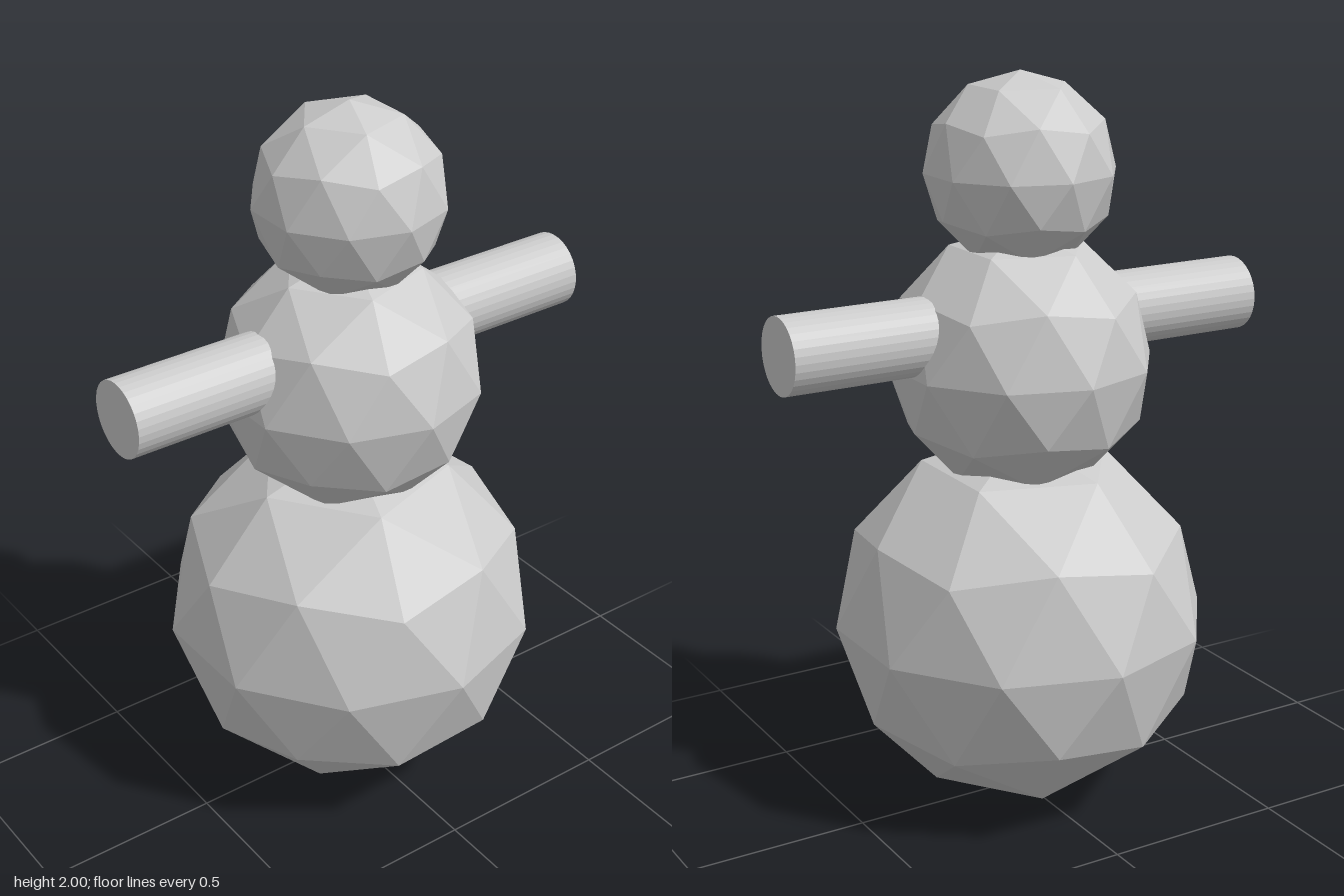
import * as THREE from 'three';

const material = new THREE.MeshStandardMaterial({ color: 0xcccccc, flatShading: true });

// Faceted ball, turned so that one corner points straight up
function ball(name, radius, y) {
  const geometry = new THREE.IcosahedronGeometry(radius, 1);
  geometry.rotateZ(Math.atan(2 / (1 + Math.sqrt(5))));
  geometry.computeVertexNormals();
  const mesh = new THREE.Mesh(geometry, material);
  mesh.name = name;
  mesh.position.y = y;
  return mesh;
}

// Straight arm, starting inside the middle ball
function arm(name, side) {
  const inner = 0.15, outer = 0.696;
  const geometry = new THREE.CylinderGeometry(0.102, 0.102, outer - inner, 32);
  geometry.rotateZ(Math.PI / 2);
  const mesh = new THREE.Mesh(geometry, material);
  mesh.name = name;
  mesh.position.set(side * (inner + outer) / 2, 1.34, 0);
  return mesh;
}

export function createModel() {
  const group = new THREE.Group();
  group.name = 'snowman';
  group.add(
    ball('lowerBody', 0.512, 0.514),
    ball('upperBody', 0.358, 1.24),
    ball('head', 0.256, 1.744),
    arm('leftArm', 1),
    arm('rightArm', -1),
  );
  return group;
}
